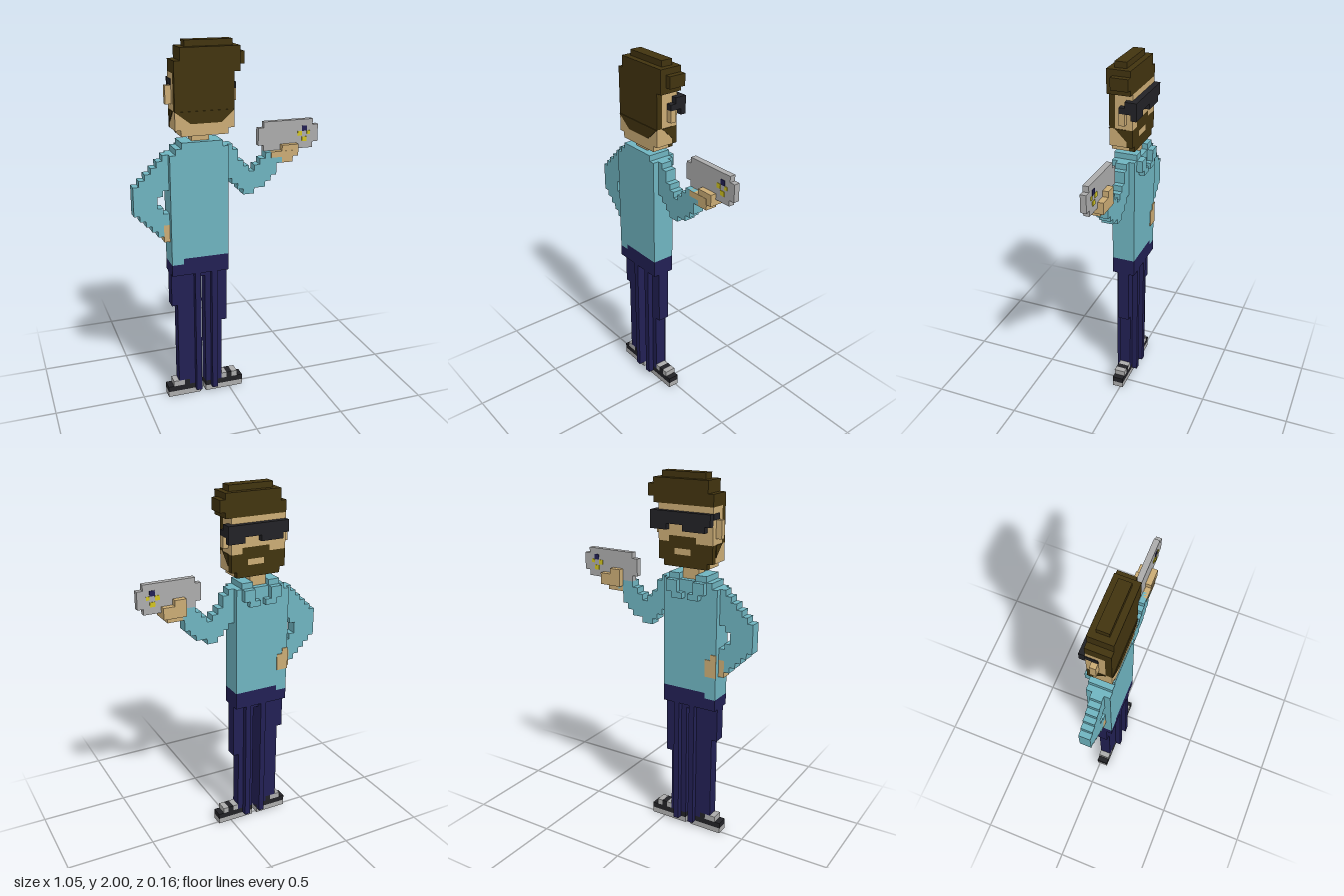
import * as THREE from 'three';
import { mergeGeometries } from 'three/addons/utils/BufferGeometryUtils.js';

const U = 2 / 63; // size of one block; grid is 33 wide, 63 high, 5 deep
const gx = i => (i - 16.5) * U;
const gy = r => r * U;
const gz = k => (k - 2.5) * U;

const colour = (name, hex) => {
  const m = new THREE.MeshStandardMaterial({ color: hex });
  m.name = name;
  return m;
};

export function createModel() {
  const hair = colour('dark brown hair', 0x42340f);
  const skin = colour('tan skin', 0xcbac75);
  const shirt = colour('teal shirt', 0x6fb4c0);
  const navy = colour('navy trousers', 0x222054);
  const black = colour('black', 0x222226);
  const grey = colour('grey', 0xacacac);
  const yellow = colour('yellow', 0xd2c420);

  const model = new THREE.Group();
  model.name = 'blockFigure';

  const add = (name, material, geometry) => {
    const mesh = new THREE.Mesh(geometry, material);
    mesh.name = name;
    model.add(mesh);
    return mesh;
  };

  // Blocks are given as [i0, i1, r0, r1, k0, k1] in grid steps (x, y, z)
  const blocks = (name, material, list) =>
    add(name, material, mergeGeometries(list.map(([a, b, c, d, e, f]) =>
      new THREE.BoxGeometry((b - a) * U, (d - c) * U, (f - e) * U)
        .translate(gx((a + b) / 2), gy((c + d) / 2), gz((e + f) / 2)))));

  // Thin painted plate from 2D points
  const plate = (name, material, points) =>
    add(name, material, new THREE.ExtrudeGeometry(
      new THREE.Shape(points.map(p => new THREE.Vector2(...p))), { depth: 0.004, bevelEnabled: false }));

  // Head
  blocks('head', skin, [
    [7, 17, 49, 58, 2, 4], [7, 17, 53, 58, 1, 2],
    [7, 17, 49, 52, 4, 5], [8, 16, 48, 49, 2, 5],
  ]);
  blocks('ears', skin, [[6, 7, 53, 56, 2, 3], [17, 18, 53, 55, 2, 3]]);
  blocks('neck', skin, [[10, 13, 46, 48, 2, 4]]);

  // Hair
  blocks('hair', hair, [
    [9, 17, 62, 63, 2, 4], [8, 18, 61, 62, 1, 5],
    [8, 18, 60, 61, 1, 5], [18, 19, 60, 61, 1, 4],
    [7, 18, 59, 60, 1, 5], [18, 19, 59, 60, 1, 4],
    [7, 18, 58, 59, 1, 5], [7, 17, 52, 58, 4, 5],
  ]);
  plate('hairNape', hair, [[7, 52], [9.6, 50], [14.8, 50], [17, 52]].map(([i, r]) => [gx(i), gy(r)]))
    .position.z = gz(5);

  // Beard with a mouth opening
  blocks('beard', hair, [
    [7, 17, 51, 52, 1, 2], [7, 11, 50, 51, 1, 2], [14, 17, 50, 51, 1, 2],
    [7, 17, 49, 50, 1, 2], [8, 16, 48, 49, 1, 2],
    [10, 15, 52, 53, 1, 2],
  ]);
  blocks('mouth', skin, [[11, 14, 50, 51, 1, 2]]);
  blocks('cheeks', skin, [[7, 10, 52, 53, 1, 2], [15, 17, 52, 53, 1, 2]]);
  for (const x of [gx(17), gx(7) - 0.004]) {
    const side = plate('beardSide', hair, [[4, 52], [2, 50], [2, 52]].map(([k, r]) => [-gz(k), gy(r)]));
    side.rotation.y = Math.PI / 2;
    side.position.x = x;
  }

  // Glasses
  blocks('glasses', black, [
    [7, 18, 55, 57, 0, 1], [8, 12, 54, 55, 0, 1], [15, 18, 54, 55, 0, 1],
    [17, 18, 55, 57, 1, 2], [17, 18, 55, 56, 2, 3], [6.9, 7, 56, 57, 1, 3],
  ]);

  // Shirt
  blocks('shirtBody', shirt, [
    [6, 16, 27, 45, 1, 5], [6, 8, 26, 27, 1, 5],
    [7, 16, 45, 46, 1, 5],
    [8, 10, 46, 47, 1, 5], [13, 15, 46, 47, 1, 5], [10, 13, 46, 47, 4, 5],
  ]);
  blocks('collarFlaps', shirt, [
    [8, 10, 44, 46, 0, 1], [9, 11, 43, 44, 0, 1],
    [13, 15, 44, 46, 0, 1], [12, 14, 43, 44, 0, 1],
  ]);

  // Right arm, bent with the hand on the hip
  const rightArm = [];
  for (let i = 0; i < 4; i++) rightArm.push([i, i + 1, 35 - i, 40 + i, 2, 4]);
  rightArm.push([4, 5, 38, 44, 2, 4], [4, 5, 31, 36, 2, 4], [5, 6, 39, 45, 2, 4], [5, 6, 33, 35, 2, 4]);
  blocks('rightArm', shirt, rightArm);
  blocks('rightHand', skin, [[5, 6, 30, 33, 2, 4], [5.9, 8, 30, 33, 0.85, 1], [5.9, 7, 33, 34, 0.85, 1]]);

  // Left arm, one [bottom, top] pair per column
  const leftColumns = [[40, 46], [39, 45], [38, 43], [37, 42], [37, 41], [38, 42], [38, 43], [39, 44], [40, 44], [42, 43]];
  blocks('leftArm', shirt, leftColumns.map(([lo, hi], n) => [16 + n, 17 + n, lo, hi, 2, 4]));
  blocks('leftHand', skin, [
    [24, 28, 43, 44, 3.05, 4.05], [25, 28, 42, 43, 2, 4], [26, 29, 44, 45, 3, 4],
    [25, 29, 43, 44, 1, 3], [25, 29, 44, 45, 1, 2], [25, 27, 45, 46, 1, 2], [26, 29, 43, 44, 3, 4],
  ]);

  // Tablet with small dots on both faces
  blocks('tablet', grey, [[23, 32, 44, 49, 2, 3], [22, 23, 45, 48, 2, 3], [32, 33, 45, 48, 2, 3]]);
  blocks('tabletLens', navy, [[30, 30.9, 47, 47.9, 1.9, 3.1]]);
  blocks('tabletDots', yellow, [
    [29.2, 30, 46.2, 47, 1.9, 3.1], [30, 30.9, 45.2, 46, 1.9, 3.1], [30.9, 31.5, 46.4, 47, 1.9, 3.1],
  ]);

  // Trousers
  blocks('hips', navy, [[6, 16, 24, 26, 1, 5], [8, 16, 26, 27, 1, 5], [6, 16, 23, 24, 2, 4]]);
  blocks('rightLeg', navy, [[7, 11, 3, 23, 2, 4], [9, 11, 2, 3, 2, 4], [10, 11, 1, 24, 1, 5], [6, 7, 18, 23, 2, 4]]);
  blocks('leftLeg', navy, [[12, 15, 2, 23, 2, 4], [13, 14, 1, 24, 1, 5], [15, 16, 14, 23, 2, 4]]);

  // Shoes
  blocks('shoeSoles', grey, [[5, 11, 0, 1, 2, 4], [12, 19, 0, 1, 2, 4]]);
  blocks('shoeUppers', black, [[5, 11, 1, 2, 2, 4], [8, 9, 2, 3, 2, 4], [12, 19, 1, 2, 2, 4], [16, 17, 2, 3, 2, 4]]);
  blocks('shoeLaces', grey, [[6, 8, 2, 3, 2, 4], [15, 16, 2, 3, 2, 4], [17, 18, 2, 3, 2, 4]]);

  return model;
}
